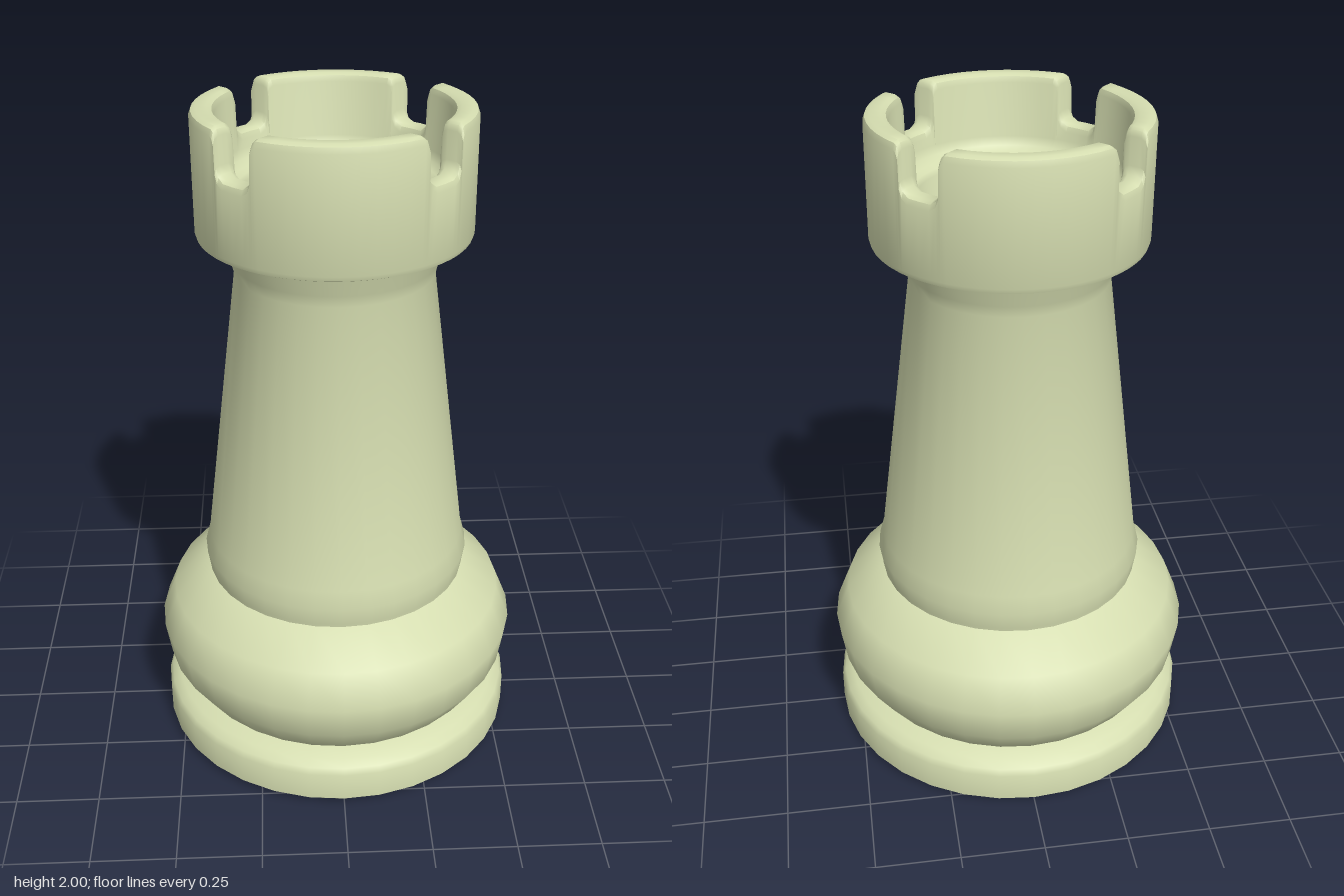
import * as THREE from 'three';
import { toCreasedNormals } from 'three/addons/utils/BufferGeometryUtils.js';

const RIM = 1.99, CREASE = 0.75;

// Half of one notch: sideways offset from its centre, and rim height there
const NOTCH = [[0.082, RIM], [0.072, 1.984], [0.066, 1.968], [0.064, 1.89], [0.055, 1.868], [0.036, 1.856], [0, 1.856]];

// Cross-section of the head for rim height h, from the outer underside to the middle of the well
const headSection = h => [
  [0.3, 1.627], [0.38, 1.627], [0.391, 1.632], [0.395, 1.645],
  [0.395, h - 0.022], [0.389, h - 0.006], [0.376, h], [0.345, h], [0.332, h - 0.006], [0.326, h - 0.022],
  [0.322, 1.81], [0.312, 1.785], [0.292, 1.77], [0.27, 1.764],
  [0.26, 1.75], [0.25, 1.66], [0.236, 1.64], [0, 1.64],
];

function headGeometry() {
  // Columns around the ring: angle as a function of radius, plus rim height
  const columns = [];
  for (let k = 0; k < 4; k++) {
    const mid = Math.PI / 4 + k * Math.PI / 2;
    const at = (s, r) => mid + Math.asin(s / Math.max(r, 0.2));
    NOTCH.forEach(([s, h]) => columns.push({ h, angle: r => at(-s, r) }));
    NOTCH.slice(0, -1).reverse().forEach(([s, h]) => columns.push({ h, angle: r => at(s, r) }));
    for (let i = 1; i < 10; i++) {
      columns.push({
        h: RIM,
        angle: r => {
          const a = at(NOTCH[0][0], r), b = 2 * mid + Math.PI / 2 - a;
          return a + (b - a) * i / 10;
        },
      });
    }
  }
  const pos = [], index = [], n = headSection(RIM).length;
  columns.forEach(({ h, angle }, i) => {
    headSection(h).forEach(([r, y], j) => {
      const a = angle(r);
      pos.push(r * Math.sin(a), y, r * Math.cos(a));
      if (j === n - 1) return;
      const p = i * n + j, q = ((i + 1) % columns.length) * n + j;
      index.push(p, q, q + 1);
      if (j < n - 2) index.push(p, q + 1, p + 1);
    });
  });
  const g = new THREE.BufferGeometry();
  g.setAttribute('position', new THREE.Float32BufferAttribute(pos, 3));
  g.setIndex(index);
  return toCreasedNormals(g, CREASE);
}

function turned(points, segments = 32) {
  const g = new THREE.LatheGeometry(points.map(([r, y]) => new THREE.Vector2(r, y)), segments);
  return toCreasedNormals(g, CREASE);
}

export function createModel() {
  const model = new THREE.Group();
  model.name = 'rook';
  const paleGreen = new THREE.MeshStandardMaterial({ color: 0xd5ddb0 });
  paleGreen.name = 'paleGreen';

  // The whole piece leans back very slightly
  const piece = new THREE.Group();
  piece.name = 'piece';
  piece.rotation.set(-0.011, 0, 0.002);
  piece.position.y = 0.006;
  model.add(piece);

  const add = (name, geometry) => {
    const mesh = new THREE.Mesh(geometry, paleGreen);
    mesh.name = name;
    piece.add(mesh);
  };

  // Foot disc
  add('base', turned([[0, 0], [0.545, 0], [0.555, 0.01], [0.555, 0.1], [0.545, 0.119], [0.52, 0.136], [0.475, 0.15]]));
  // Rounded bulge above the foot
  add('bulge', turned([[0.47, 0.14], [0.485, 0.158], [0.543, 0.245], [0.56, 0.35], [0.517, 0.455], [0.4, 0.54], [0.38, 0.545]]));
  // Collar, tapered shaft and flare below the head
  add('shaft', turned([[0.4, 0.53], [0.402, 0.55], [0.411, 0.605], [0.396, 0.66], [0.289, 1.515], [0.298, 1.55], [0.322, 1.635]]));
  // Crenellated head with a sunken well
  add('head', headGeometry());
  return model;
}
